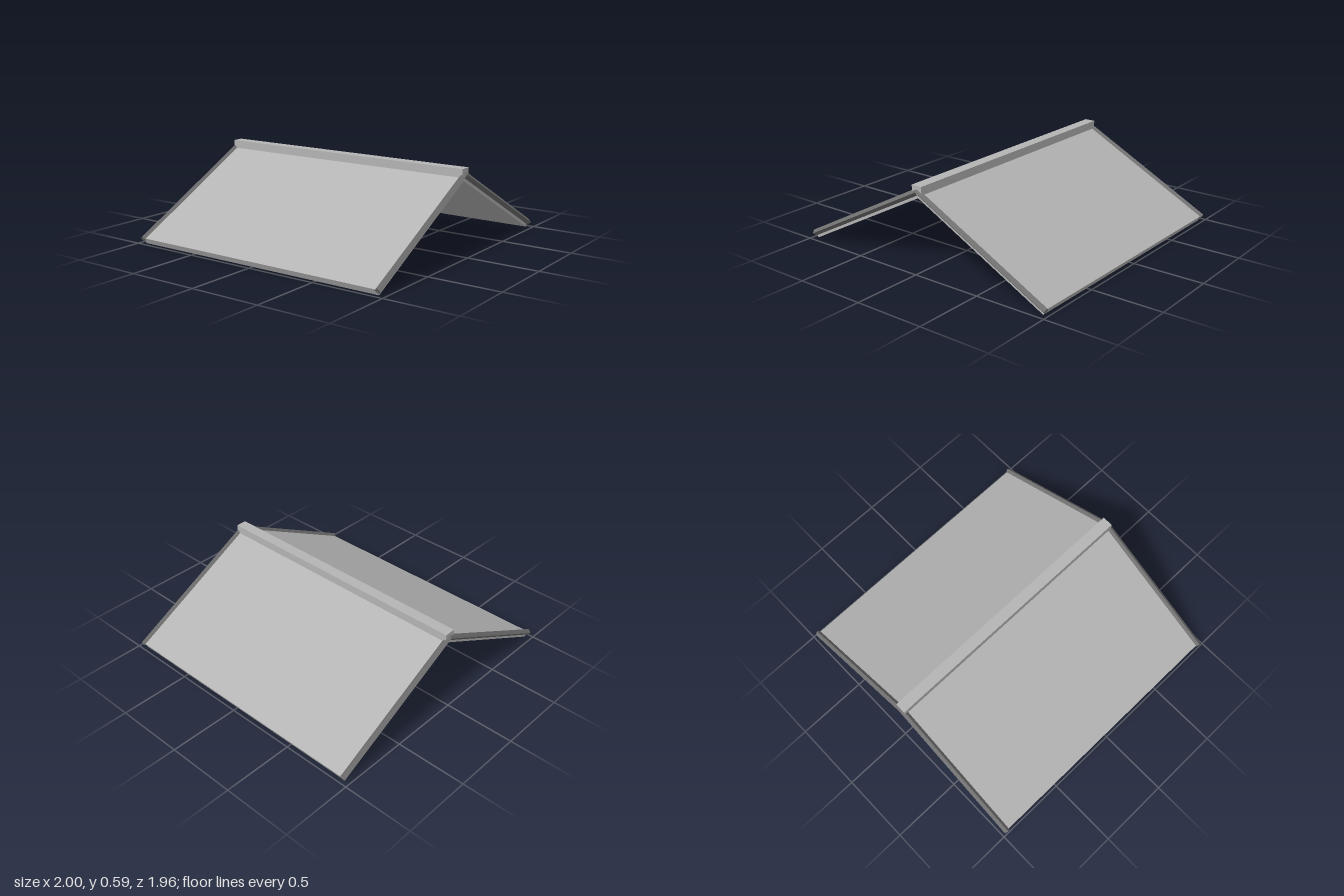
import * as THREE from 'three';

const SLOPE = 0.522;                       // fall per unit of run
const LEN = Math.hypot(1, SLOPE);
const NX = SLOPE / LEN, NY = 1 / LEN;      // normal of the +x slope

const roofMat = new THREE.MeshStandardMaterial({ color: 0xb4b4b4 });
roofMat.name = 'light grey roof';
const trimMat = new THREE.MeshStandardMaterial({ color: 0x707070 });
trimMat.name = 'dark grey trim';

// Folded slab: two pitched panels mitred at the ridge
function roofGeometry() {
  const halfDepth = 0.955, thick = 0.043, apex = 0.505, eave = 0.965;
  const low = apex - eave * SLOPE;
  const shape = new THREE.Shape([
    [0, apex], [eave, low], [eave + NX * thick, low + NY * thick],
    [0, apex + thick * LEN],
    [-eave - NX * thick, low + NY * thick], [-eave, low],
  ].map(([x, y]) => new THREE.Vector2(x, y)));
  const geo = new THREE.ExtrudeGeometry(shape, { depth: halfDepth * 2, bevelEnabled: false });
  geo.translate(0, 0, -halfDepth);
  return geo;
}

// Diamond-section bar running up one slope and down the other
function trimGeometry() {
  const r = 0.022, apex = 0.55, end = 0.989;
  const rings = [-1, 0, 1].map((side) => {
    const x = side * end, y = apex - Math.abs(x) * SLOPE;
    const ux = side * NX * r, uy = side ? NY * r : r * LEN;
    return [[x + ux, y + uy, 0], [x, y, r], [x - ux, y - uy, 0], [x, y, -r]];
  });
  const pos = [];
  const quad = (a, b, c, d) => pos.push(...a, ...b, ...c, ...a, ...c, ...d);
  for (let i = 0; i < 2; i++) {
    for (let k = 0; k < 4; k++) {
      const n = (k + 1) % 4;
      quad(rings[i][k], rings[i][n], rings[i + 1][n], rings[i + 1][k]);
    }
  }
  quad(...rings[2]);
  quad(...[...rings[0]].reverse());
  const geo = new THREE.BufferGeometry();
  geo.setAttribute('position', new THREE.Float32BufferAttribute(pos, 3));
  geo.computeVertexNormals();
  return geo;
}

export function createModel() {
  const model = new THREE.Group();
  model.name = 'gableRoof';
  const add = (name, geo, mat, y = 0, z = 0) => {
    const mesh = new THREE.Mesh(geo, mat);
    mesh.name = name;
    mesh.position.set(0, y, z);
    model.add(mesh);
  };

  add('roofPanels', roofGeometry(), roofMat);

  // Square cap along the ridge
  add('ridgeCap', new THREE.BoxGeometry(0.078, 0.06, 1.934), roofMat, 0.56);

  // Gable trim at both ends
  const trim = trimGeometry();
  add('frontGableTrim', trim, trimMat, 0, 0.96);
  add('backGableTrim', trim, trimMat, 0, -0.96);

  return model;
}
